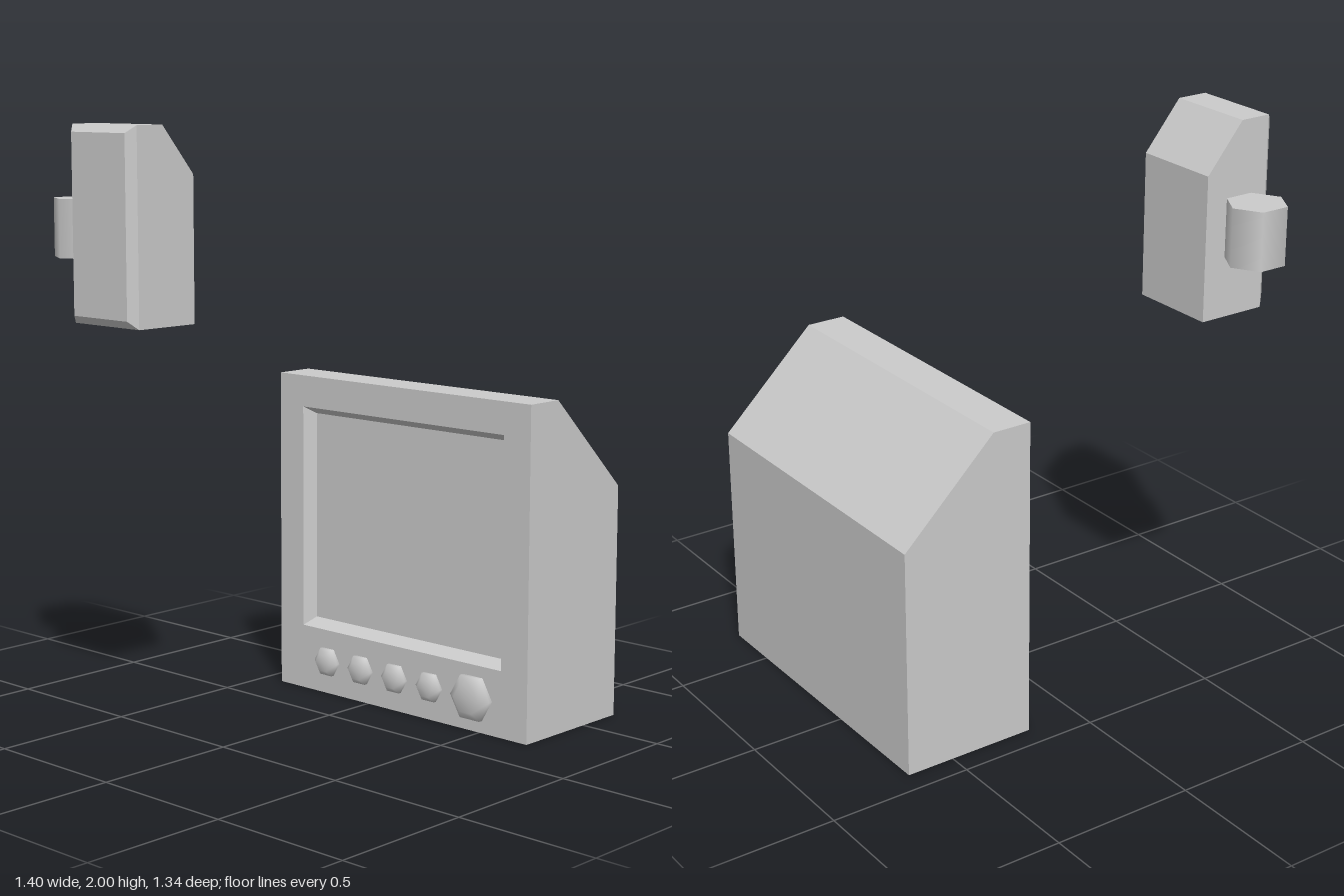
import * as THREE from 'three';

const material = new THREE.MeshStandardMaterial({ color: 0xcccccc });

function addMesh(parent, name, geometry, x = 0, y = 0, z = 0) {
  const mesh = new THREE.Mesh(geometry, material);
  mesh.name = name;
  mesh.position.set(x, y, z);
  parent.add(mesh);
  return mesh;
}

// Closed faceted solid through rectangles [x0, x1, y0, y1, z], listed from back to front.
function loftRects(rects) {
  const loops = rects.map(([x0, x1, y0, y1, z]) =>
    [[x0, y0, z], [x1, y0, z], [x1, y1, z], [x0, y1, z]]);
  const positions = [];
  const quad = (a, b, c, d) => positions.push(...a, ...b, ...c, ...a, ...c, ...d);
  for (let i = 0; i < loops.length - 1; i++) {
    const p = loops[i], q = loops[i + 1];
    for (let k = 0; k < 4; k++) {
      const n = (k + 1) % 4;
      quad(p[k], p[n], q[n], q[k]);
    }
  }
  const first = loops[0], last = loops[loops.length - 1];
  quad(first[3], first[2], first[1], first[0]);
  quad(last[0], last[1], last[2], last[3]);
  const geometry = new THREE.BufferGeometry();
  geometry.setAttribute('position', new THREE.Float32BufferAttribute(positions, 3));
  geometry.computeVertexNormals();
  return geometry;
}

// Six-sided domed knob facing +z, smooth shaded.
function knobGeometry(radius, depth) {
  const profile = [[radius, 0], [radius, depth * 0.4], [radius * 0.62, depth], [0, depth]]
    .map(([r, h]) => new THREE.Vector2(r, h));
  return new THREE.LatheGeometry(profile, 6, Math.PI / 2).rotateX(Math.PI / 2);
}

export function createModel() {
  const model = new THREE.Group();
  model.name = 'monitorAndCamera';

  // Monitor: sloped back, then the front face and the recessed screen
  const monitor = new THREE.Group();
  monitor.name = 'monitor';
  model.add(monitor);
  const front = -0.195;
  addMesh(monitor, 'monitorCase', loftRects([
    [-0.42, 0.70, 0, 0.795, -0.67],
    [-0.42, 0.70, 0, 1.12, -0.335],
    [-0.42, 0.70, 0, 1.12, front],
    [-0.31, 0.59, 0.227, 1.01, front],
    [-0.283, 0.56, 0.255, 0.985, front - 0.04],
  ]));

  // Row of four small knobs and a large one
  for (let i = 0; i < 4; i++) {
    addMesh(monitor, `smallKnob${i + 1}`, knobGeometry(0.054, 0.03), -0.19 + i * 0.158, 0.115, front);
  }
  addMesh(monitor, 'largeKnob', knobGeometry(0.084, 0.038), 0.47, 0.115, front);

  // Camera housing: sloped back and chamfered front
  const camera = new THREE.Group();
  camera.name = 'camera';
  model.add(camera);
  addMesh(camera, 'cameraHousing', loftRects([
    [-0.53, -0.22, 1.355, 1.84, 0.403],
    [-0.53, -0.22, 1.355, 2, 0.535],
    [-0.53, -0.22, 1.355, 2, 0.643],
    [-0.505, -0.247, 1.382, 1.975, 0.67],
  ]));

  // Hexagonal hinge on the housing's side
  addMesh(camera, 'hinge', new THREE.CylinderGeometry(0.1, 0.1, 0.195, 6), -0.617, 1.657, 0.533);

  return model;
}
